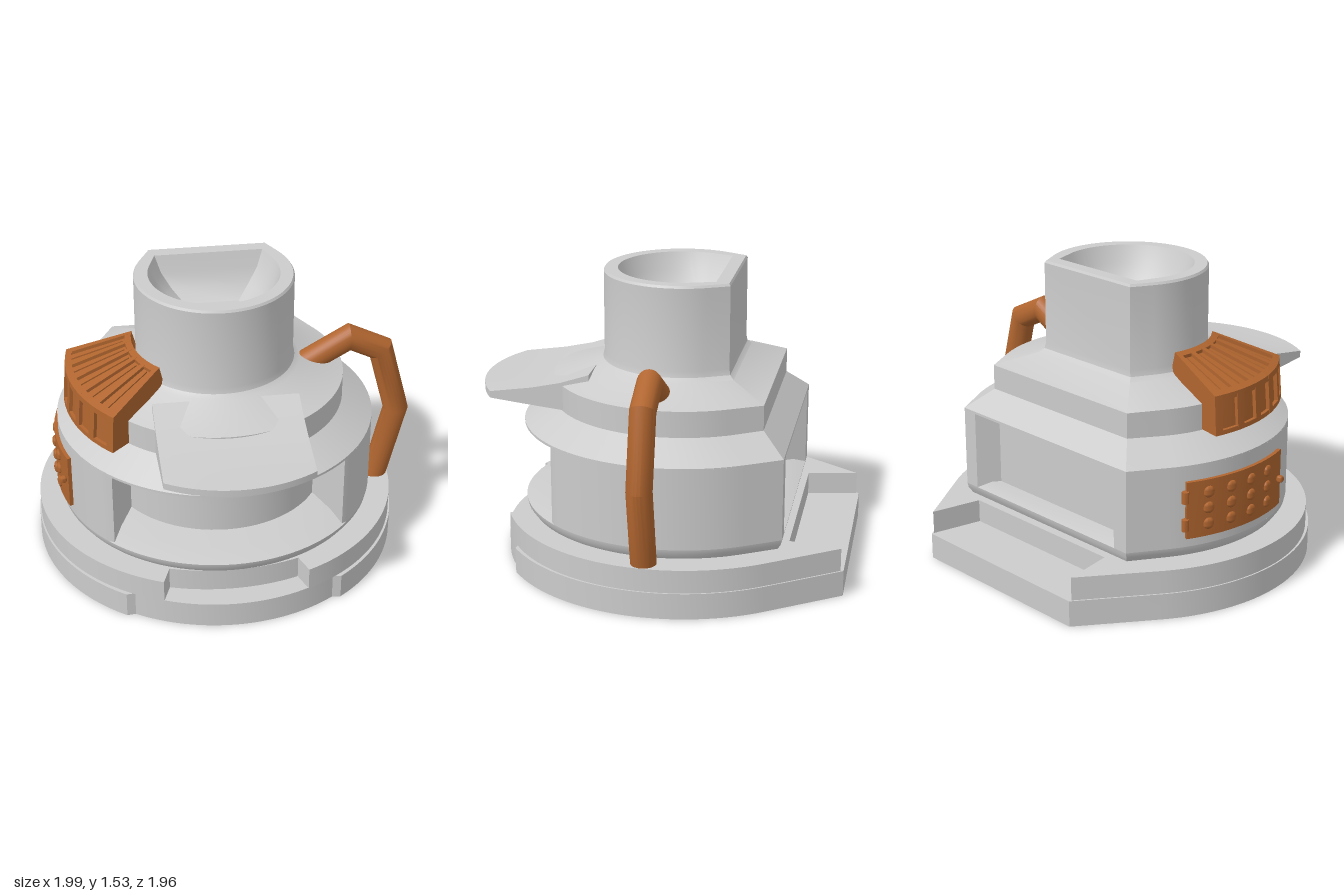
import * as THREE from 'three';
import { toCreasedNormals } from 'three/addons/utils/BufferGeometryUtils.js';

const grey = new THREE.MeshStandardMaterial({ color: 0xcccccc });
const brown = new THREE.MeshStandardMaterial({ color: 0xb0652f });
const CX = -0.043, CZ = -0.07; // main vertical axis

function add(parent, name, geometry, material = grey, crease = 0.5) {
  const mesh = new THREE.Mesh(toCreasedNormals(geometry, crease), material);
  mesh.name = name;
  parent.add(mesh);
  return mesh;
}

// Skin over a list of closed rings ([x, y, z] points), capped at both ends
function loft(rings) {
  const n = rings[0].length, index = [], last = (rings.length - 1) * n;
  for (let i = 0; i < rings.length - 1; i++) {
    for (let j = 0; j < n; j++) {
      const a = i * n + j, b = i * n + (j + 1) % n;
      index.push(a, a + n, b + n, a, b + n, b);
    }
  }
  for (let j = 1; j < n - 1; j++) {
    index.push(0, j, j + 1, last, last + j + 1, last + j);
  }
  const g = new THREE.BufferGeometry();
  g.setAttribute('position', new THREE.Float32BufferAttribute(rings.flat(2), 3));
  g.setIndex(index);
  g.computeVertexNormals();
  return g;
}

// Outline in x, z: round front whose sides run tangentially to a flat back
function dOutline(r, back, hw, n = 72) {
  const start = Math.atan2(-back, hw) + Math.acos(Math.min(1, r / Math.hypot(hw, back)));
  const pts = [[hw, -back]];
  for (let i = 0; i <= n; i++) {
    const a = start + (Math.PI - 2 * start) * i / n;
    pts.push([r * Math.cos(a), r * Math.sin(a)]);
  }
  pts.push([-hw, -back]);
  return pts;
}

// Rows of radius, height, back distance, back half width
const dLoft = rows => loft(rows.map(([r, y, back, hw]) =>
  dOutline(r, back, hw).map(([x, z]) => [x, y, z])));

// Upright slab over an x, z outline
function slab(pts, y0, y1) {
  const shape = new THREE.Shape(pts.map(([x, z]) => new THREE.Vector2(x, -z)));
  return new THREE.ExtrudeGeometry(shape, { depth: y1 - y0, bevelEnabled: false })
    .rotateX(-Math.PI / 2).translate(0, y0, 0);
}

// Sweep of an r, y profile round the axis; angle in degrees from -x toward +z
function sector(profile, from, to, steps = 10) {
  const rings = [];
  for (let i = 0; i <= steps; i++) {
    const a = THREE.MathUtils.degToRad(from + (to - from) * i / steps);
    rings.push(profile.map(([r, y]) => [-r * Math.cos(a), y, r * Math.sin(a)]));
  }
  return loft(rings);
}

// Round bar along x, y points with mitred bends
function bar(path, radius, z, sides = 24) {
  const p = path.map(([x, y]) => new THREE.Vector2(x, y));
  return loft(p.map((v, i) => {
    const d0 = v.clone().sub(p[Math.max(i - 1, 0)]).normalize();
    const d1 = p[Math.min(i + 1, p.length - 1)].clone().sub(v).normalize();
    const t = d0.clone().add(d1).normalize();
    const miter = radius / t.dot(i ? d0 : d1);
    return Array.from({ length: sides }, (_, k) => {
      const a = 2 * Math.PI * k / sides, c = Math.cos(a) * miter;
      return [v.x - t.y * c, v.y + t.x * c, z - radius * Math.sin(a)];
    });
  }));
}

export function createModel() {
  const root = new THREE.Group();
  root.name = 'model';
  const body = new THREE.Group();
  body.name = 'body';
  body.position.set(CX, 0, CZ);
  root.add(body);

  // Base: lower slab with a set-back front
  const lower = dOutline(0.955, 0.91, 0.53, 120).map(([x, z]) =>
    z > 0 && Math.abs(x) < 0.533 ? [x * 0.97, z * 0.97] : [x, z]);
  add(body, 'lowerBase', slab(lower, 0, 0.135));

  // Base: upper slab with a front notch and a rear tray
  const upper = dOutline(0.947, 0.895, 0.53, 120).map(([x, z]) => {
    if (z < 0) return [x, z];
    const k = Math.abs(x) < 0.365 ? 0.865 : 1;
    return [x * (k < 1 ? 0.98 : 1), z * 0.98 * k];
  });
  upper.push([-0.48, -0.63], [0.48, -0.63]);
  add(body, 'upperBase', slab(upper, 0.135, 0.255));

  // Body: sill, walls round both openings, shoulder
  add(body, 'sill', dLoft([
    [0.80, 0.25, 0.58, 0.585], [0.825, 0.285, 0.6, 0.602], [0.83, 0.31, 0.605, 0.605],
    [0.72, 0.335, 0.54, 0.52],
  ]));
  const outer = dOutline(0.83, 0.605, 0.605, 120).filter(([, z]) => z < 0.57);
  const right = outer.filter(([x]) => x > 0), left = outer.filter(([x]) => x < 0);
  const a0 = Math.acos(0.48 / 0.57), inner = [];
  for (let i = 0; i <= 24; i++) {
    const a = a0 + (Math.PI - 2 * a0) * i / 24;
    inner.push([0.57 * Math.cos(a), 0.57 * Math.sin(a)]);
  }
  add(body, 'windowWalls', slab([
    ...right, [0.59, 0.57], ...inner, [-0.59, 0.57], ...left,
    [-0.52, -0.605], [-0.45, -0.5], [0.45, -0.5], [0.52, -0.605],
  ], 0.31, 0.73));
  add(body, 'shoulder', dLoft([
    [0.72, 0.685, 0.54, 0.52], [0.83, 0.722, 0.605, 0.605], [0.83, 0.735, 0.605, 0.605],
    [0.655, 0.845, 0.485, 0.49],
  ]));

  // Collar, tower and the bowl sunk into its top
  add(body, 'tower', dLoft([
    [0.67, 0.835, 0.49, 0.495], [0.67, 0.97, 0.49, 0.495], [0.44, 1.04, 0.315, 0.335],
    [0.415, 1.06, 0.295, 0.318], [0.4075, 1.09, 0.29, 0.31], [0.4075, 1.515, 0.29, 0.31],
    [0.40, 1.527, 0.283, 0.303], [0.335, 1.527, 0.215, 0.28], [0.30, 1.44, 0.19, 0.25],
    [0.25, 1.36, 0.16, 0.20], [0.16, 1.30, 0.095, 0.14],
  ]));

  // Visor with a rounded front edge
  const visor = [];
  for (let i = 0; i <= 24; i++) {
    const x = -0.37 + 0.74 * i / 24;
    const tip = 0.975 - 0.70 + Math.sqrt(0.49 - x * x);
    visor.push([[0.35, 0.84], [0.5, 0.842], [0.68, 0.862], [tip, 0.885], [tip, 0.92],
      [0.8, 0.93], [0.65, 0.952], [0.5, 0.985], [0.35, 1.035]].map(([z, y]) => [x - 0.04, y, z]));
  }
  add(root, 'visor', loft(visor));

  // Bent handle
  add(root, 'handle', bar([[0.83, 0.24], [0.93, 0.665], [0.83, 1.035], [0.66, 1.117],
    [0.40, 0.965]], 0.065, -0.03), brown);

  // Slotted vent: recessed core, ribs and rims
  const vent = new THREE.Group();
  vent.name = 'vent';
  body.add(vent);
  const from = -12, to = 43;
  add(vent, 'ventCore', sector([[0.66, 0.96], [0.64, 0.842], [0.772, 0.842], [0.757, 1.028],
    [0.43, 1.147], [0.40, 1.06]], from + 0.5, to - 0.5), brown, 0.3);
  const full = [[0.66, 0.96], [0.64, 0.84], [0.79, 0.84], [0.775, 1.04], [0.43, 1.165], [0.40, 1.06]];
  for (let i = 0; i < 6; i++) {
    const a = from + (to - from - 3.2) * i / 5;
    add(vent, 'ventRib', sector(full, a, a + 3.2, 2), brown, 0.3);
    if (i < 5) {
      add(vent, 'ventSlat', sector([[0.47, 1.12], [0.74, 1.02], [0.746, 1.04], [0.47, 1.14]],
        a + 5.8, a + 7.4, 2), brown, 0.3);
    }
  }
  const rims = [
    [[0.745, 1.01], [0.777, 1.01], [0.775, 1.04], [0.74, 1.053]],
    [[0.74, 0.84], [0.79, 0.84], [0.788, 0.862], [0.74, 0.862]],
    [[0.42, 1.13], [0.46, 1.12], [0.462, 1.153], [0.43, 1.165]],
  ];
  rims.forEach(p => add(vent, 'ventRim', sector(p, from, to), brown, 0.3));

  // Studded side panel with hinges and a knob
  const panel = new THREE.Group();
  panel.name = 'sidePanel';
  body.add(panel);
  add(panel, 'panelPlate', sector([[0.82, 0.36], [0.85, 0.36], [0.85, 0.655], [0.82, 0.655]],
    -25, 20), brown);
  const place = (mesh, deg, r, y) => {
    const a = THREE.MathUtils.degToRad(deg);
    mesh.position.set(-r * Math.cos(a), y, r * Math.sin(a));
    mesh.rotation.y = a;
  };
  for (let row = 0; row < 3; row++) {
    for (let col = 0; col < 4; col++) {
      const stud = add(panel, 'stud', new THREE.SphereGeometry(0.03, 16, 10), brown, 1);
      stud.scale.x = 0.5;
      place(stud, -17 + col * 9, 0.85, 0.425 + row * 0.083);
    }
  }
  for (const y of [0.435, 0.58]) {
    place(add(panel, 'hinge', new THREE.CylinderGeometry(0.018, 0.018, 0.06, 16), brown), -25.5, 0.85, y);
  }
  place(add(panel, 'knob', new THREE.SphereGeometry(0.02, 16, 12), brown, 1), 17.5, 0.865, 0.51);

  return root;
}
